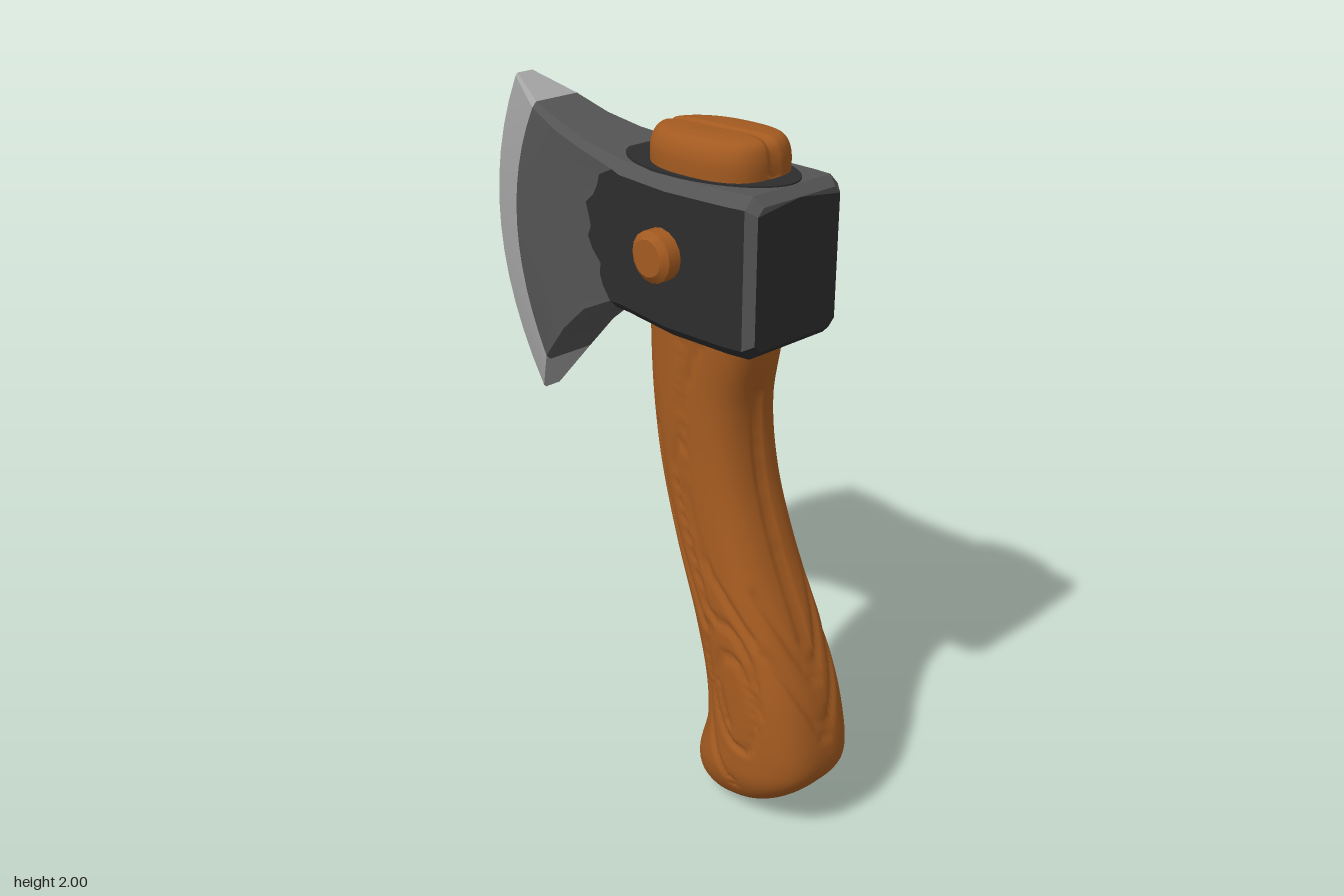
import * as THREE from 'three';
import { toCreasedNormals } from 'three/addons/utils/BufferGeometryUtils.js';

const paint = (name, color) => {
  const m = new THREE.MeshStandardMaterial({ color });
  m.name = name;
  return m;
};

// Skin closed rings of points; pick(i, j) gives the material index of each quad
function loft(rings, pick = () => 0) {
  const n = rings[0].length, lists = [];
  for (let i = 0; i < rings.length - 1; i++) {
    for (let j = 0; j < n; j++) {
      const a = i * n + j, b = i * n + (j + 1) % n;
      (lists[pick(i, j)] ??= []).push(a, b, a + n, b, b + n, a + n);
    }
  }
  const geo = new THREE.BufferGeometry();
  geo.setAttribute('position', new THREE.Float32BufferAttribute(rings.flat(2), 3));
  geo.setIndex(lists.flat());
  let start = 0;
  lists.forEach((l, k) => { geo.addGroup(start, l.length, k); start += l.length; });
  geo.computeVertexNormals();
  return geo;
}

// Half thickness of the head along its length
const HALF = [[-0.68, 0.06], [-0.55, 0.075], [-0.1, 0.135], [0, 0.16], [0.2, 0.185], [0.4, 0.178], [0.465, 0.17], [0.5, 0.15]];
function headHalf(x) {
  let k = 0;
  while (k < HALF.length - 2 && x > HALF[k + 1][0]) k++;
  const [a, b] = [HALF[k], HALF[k + 1]];
  return THREE.MathUtils.mapLinear(x, a[0], b[0], a[1], b[1]);
}

// Head: upright columns from the poll to the cutting edge
function headGeometry() {
  const N = 12;
  const ragged = [-0.06, -0.1, -0.115, -0.11, -0.15, -0.17, -0.155, -0.165, -0.178, -0.14, -0.12, -0.11, -0.04];
  const columns = [ // top x, top y, middle x, bottom x, bottom y, bevel, fixed half thickness
    [0.492, 1.868, 0.492, 0.492, 1.49, 0, 0],
    [0.492, 1.868, 0.492, 0.492, 1.49, 0.02, 0.15],
    [0.465, 1.893, 0.465, 0.465, 1.465, 0.03],
    [0.4, 1.891, 0.4, 0.4, 1.463, 0.03],
    [0.2, 1.885, 0.2, 0.2, 1.46, 0.03],
    [0, 1.88, 0, 0, 1.46, 0.03],
    [-0.05, 1.88, -0.1, -0.06, 1.455, 0.025],
    [-0.2, 1.893, -0.25, -0.2, 1.39, 0.02],
    [-0.32, 1.915, -0.4, -0.31, 1.295, 0.02],
    [-0.44, 1.95, -0.55, -0.41, 1.18, 0.015],
    [-0.58, 2, -0.68, -0.5, 1.045, 0.008, 0.035],
    [-0.58, 2, -0.68, -0.5, 1.045, 0, 0],
  ];
  const rings = columns.map(([tx, ty, mx, bx, by, bevel, fixed], c) => {
    const half = (x) => fixed ?? headHalf(x);
    const front = [[bx, by, half(bx) - bevel]];
    for (let k = 0; k <= N; k++) {
      const v = k / N;
      const x = c === 6 ? ragged[k] : bx + (tx - bx) * v + (mx - (tx + bx) / 2) * 4 * v * (1 - v);
      front.push([x, by + bevel + (ty - by - 2 * bevel) * v, half(x)]);
    }
    front.push([tx, ty, half(tx) - bevel]);
    const back = front.map(([x, y, z]) => [x, y, -z]).reverse();
    return [...front, ...back];
  });
  const last = 2 * (N + 3) - 1;
  const geo = loft(rings, (i, j) => {
    if (i >= 9) return 2;                               // sharpened bit
    if (i >= 6) return 1;                               // bare cheek
    const top = j > N && j < N + 4;
    const bottom = j === 0 || j >= last - 1;
    return top || (i === 1 && !bottom) ? 1 : 0;         // worn rims on the dark collar
  });
  return toCreasedNormals(geo, 0.45);
}

// Wood grain: grooves on the sides as (x, y), on the rear edge as (|z|, y)
const groove = (pts) => new THREE.SplineCurve(pts.map((p) => new THREE.Vector2(...p))).getPoints(70);
const SIDE_GRAIN = [
  [[0.2, 1.44], [0.21, 1.2], [0.19, 1.05], [0.25, 0.85], [0.34, 0.66], [0.42, 0.64], [0.5, 0.55], [0.54, 0.42]],
  [[0.27, 1.44], [0.22, 1.25], [0.235, 1], [0.31, 0.82], [0.42, 0.7], [0.5, 0.62]],
  [[0.34, 0.62], [0.33, 0.52], [0.38, 0.37], [0.45, 0.28], [0.52, 0.29], [0.53, 0.4], [0.47, 0.53], [0.41, 0.55], [0.38, 0.47], [0.43, 0.34]],
  [[0.1, 1.15], [0.14, 0.95], [0.25, 0.72], [0.32, 0.6]],
  [[0.33, 0.42], [0.36, 0.25], [0.45, 0.13]],
].map(groove);
const REAR_GRAIN = [
  [[0, 1.3], [0, 0.6]],
  [[0.1, 0.75], [0.05, 0.6], [0, 0.5]],
  [[0.12, 0.6], [0.06, 0.45], [0, 0.33]],
].map(groove);

function grooveDepth(lines, u, v) {
  let d2 = Infinity;
  for (const line of lines) for (const p of line) d2 = Math.min(d2, (p.x - u) ** 2 + (p.y - v) ** 2);
  return 0.012 * Math.exp(-d2 / 0.00012);
}

// Handle: egg-shaped rings between a front edge and a rear edge
function handleGeometry() {
  const stations = [ // front x, y, rear x, y, half thickness
    [0.2, 1.992, 0.2, 1.992, 0],
    [0.06, 1.985, 0.34, 1.995, 0.085],
    [0.02, 1.975, 0.385, 1.984, 0.115],
    [0, 1.94, 0.4, 1.95, 0.133],
    [0, 1.85, 0.4, 1.85, 0.135],
    [0, 1.46, 0.395, 1.46, 0.135],
    [0.015, 1.25, 0.363, 1.25, 0.135],
    [0.05, 1.03, 0.387, 1.05, 0.136],
    [0.115, 0.81, 0.46, 0.84, 0.14],
    [0.2, 0.58, 0.575, 0.6, 0.148],
    [0.25, 0.4, 0.645, 0.42, 0.156],
    [0.257, 0.27, 0.675, 0.25, 0.16],
    [0.222, 0.125, 0.66, 0.195, 0.158],
    [0.228, 0.06, 0.6, 0.125, 0.135],
    [0.28, 0.015, 0.5, 0.055, 0.09],
    [0.36, 0.004, 0.36, 0.004, 0],
  ];
  const path = (f) => new THREE.CatmullRomCurve3(stations.map(f));
  const frontEdge = path((s) => new THREE.Vector3(s[0], s[1], s[4]));
  const rearEdge = path((s) => new THREE.Vector3(s[2], s[3], s[4]));
  const ROWS = 225, SIDES = 96, rings = [];
  for (let i = 0; i <= ROWS; i++) {
    const f = frontEdge.getPoint(i / ROWS), r = rearEdge.getPoint(i / ROWS);
    const half = Math.max(0, (f.z + r.z) / 2);
    const ring = [];
    for (let j = 0; j < SIDES; j++) {
      const a = (j / SIDES) * Math.PI * 2, c = Math.cos(a), s = Math.sin(a);
      const power = c > 0 ? 0.7 : 0.95;
      const cx = Math.sign(c) * Math.abs(c) ** power, sz = Math.sign(s) * Math.abs(s) ** power;
      const t = (cx + 1) / 2;
      let x = f.x + (r.x - f.x) * t, y = f.y + (r.y - f.y) * t, z = half * sz;
      if (y < 1.5 && y > 0.1) {
        const side = grooveDepth(SIDE_GRAIN, x, y) * THREE.MathUtils.smoothstep(Math.abs(s), 0.4, 0.8);
        const rear = c > 0.3 ? grooveDepth(REAR_GRAIN, Math.abs(z), y) : 0;
        z -= Math.sign(s) * side;
        x -= rear;
      } else if (y > 1.9) {                             // split across the top
        const cut = 0.014 * Math.exp(-((z / 0.008) ** 2));
        y -= cut;
        x -= Math.sign(c) * cut * 0.5 * Math.abs(c);
      }
      ring.push([x, y, z]);
    }
    rings.push(ring);
  }
  return loft(rings);
}

export function createModel() {
  const wood = paint('wood', 0xa35a20);
  const dark = paint('dark iron', 0x2d2d2d);
  const grey = paint('worn iron', 0x545454);
  const silver = paint('sharpened steel', 0xa4a4a4);

  const model = new THREE.Group();
  model.name = 'axe';
  const add = (name, geo, mat) => {
    const mesh = new THREE.Mesh(geo, mat);
    mesh.name = name;
    model.add(mesh);
    return mesh;
  };

  add('handle', handleGeometry(), wood);
  add('head', headGeometry(), [dark, grey, silver]);

  // Dark patch around the handle on top of the head
  const patch = add('collarPatch', new THREE.CylinderGeometry(1, 1, 0.008, 48).scale(0.285, 1, 0.15), dark);
  patch.position.set(0.18, 1.8865, 0);
  patch.rotation.z = 0.023;

  // Wooden pin through the head, showing on both sides
  const profile = [[0, -0.237], [0.05, -0.237], [0.07, -0.222], [0.07, 0.222], [0.05, 0.237], [0, 0.237]];
  const pin = new THREE.LatheGeometry(profile.map((p) => new THREE.Vector2(...p)), 16);
  add('pin', toCreasedNormals(pin.rotateX(Math.PI / 2), 0.6), wood).position.set(0.188, 1.687, 0);

  return model;
}
